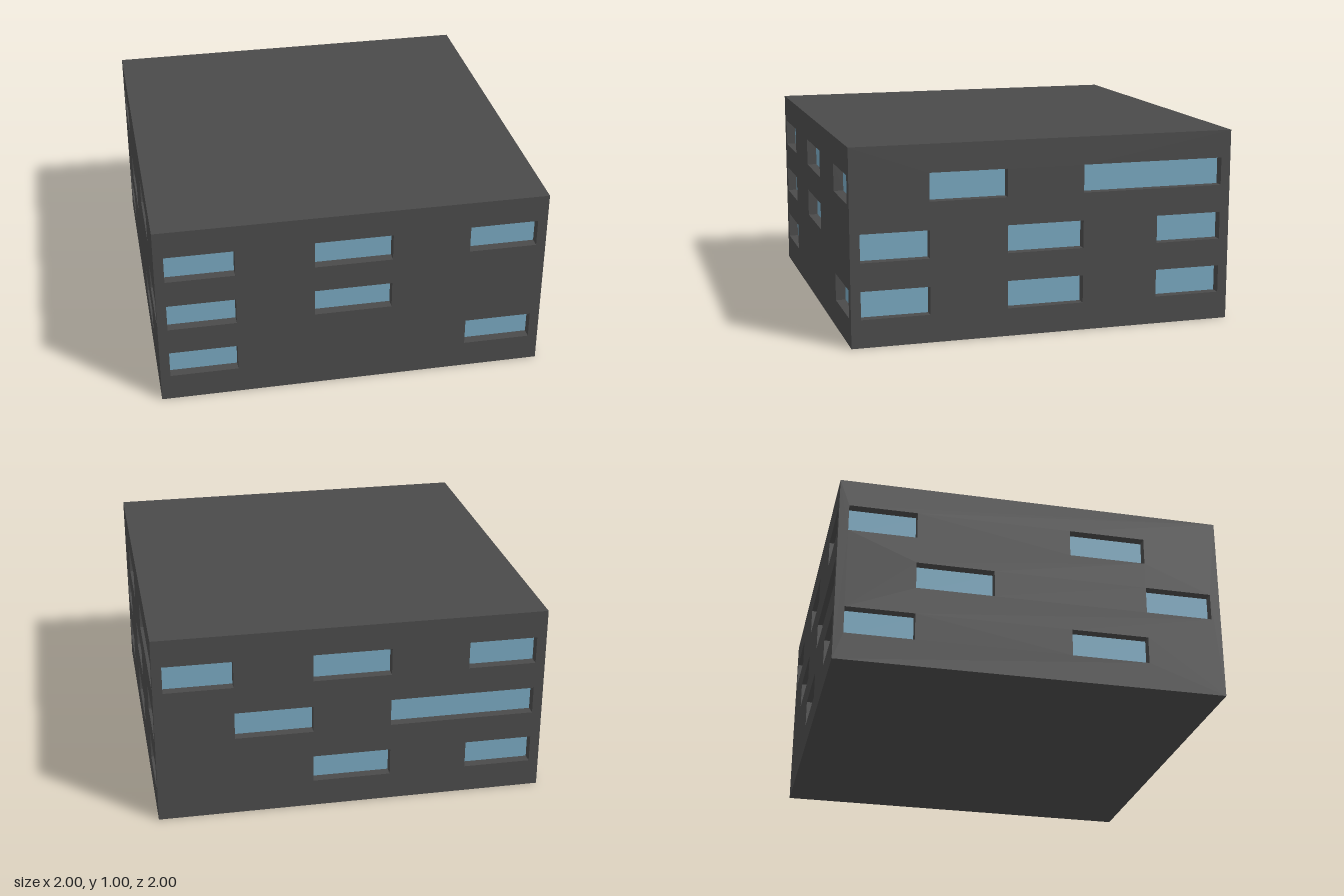
import * as THREE from 'three';

const HALF = 1, HEIGHT = 1, DEPTH = 0.05;
const wallMaterial = new THREE.MeshStandardMaterial({ color: 0x4a4a4a });
const glassMaterial = new THREE.MeshStandardMaterial({ color: 0x76a5bd });

// Five window bays across each side, and three storeys (upper, middle, lower)
const BAYS = [-0.95, -0.6, -0.2, 0.2, 0.6, 0.95];
const STOREYS = [5 / 7, 3 / 7, 1 / 7];

// Per storey: [first bay, last bay] of each window, left to right as seen from outside
const SIDES = [
  { name: 'front', turn: 0, rows: [[[0, 0], [2, 2], [4, 4]], [[0, 0], [2, 2]], [[0, 0], [4, 4]]] },
  { name: 'left', turn: 1, rows: [[[1, 1], [3, 4]], [[0, 0], [2, 2], [4, 4]], [[0, 0], [2, 2], [4, 4]]] },
  { name: 'back', turn: 2, rows: [[[0, 0], [2, 2], [4, 4]], [[1, 1], [3, 4]], [[2, 2], [4, 4]]] },
  { name: 'right', turn: 3, rows: [[[0, 0], [3, 3]], [[1, 1], [4, 4]], [[0, 0], [3, 3]]] },
];

function rectangle(PathType, x0, x1, y0, y1) {
  return new PathType([[x0, y0], [x1, y0], [x1, y1], [x0, y1]].map(([x, y]) => new THREE.Vector2(x, y)));
}

function addMesh(parent, name, geometry, material, x, y, z) {
  const mesh = new THREE.Mesh(geometry, material);
  mesh.name = name;
  mesh.position.set(x, y, z);
  parent.add(mesh);
  return mesh;
}

// Four inward-facing walls of a box, open at its front and back
function revealGeometry(width, height) {
  const geometry = new THREE.BoxGeometry(width, height, DEPTH);
  geometry.setIndex(Array.from(geometry.index.array).slice(0, 24).reverse());
  geometry.clearGroups();
  geometry.computeVertexNormals();
  return geometry;
}

// One side: a wall with openings, each with its reveal and recessed pane
function createSide({ name, turn, rows }) {
  const side = new THREE.Group();
  side.name = name + 'Side';
  const outline = rectangle(THREE.Shape, -HALF, HALF, 0, HEIGHT);
  rows.forEach((row, storey) => row.forEach(([first, last]) => {
    const x0 = BAYS[first], x1 = BAYS[last + 1];
    const y0 = STOREYS[storey], y1 = y0 + 1 / 7;
    const x = (x0 + x1) / 2, y = (y0 + y1) / 2;
    outline.holes.push(rectangle(THREE.Path, x0, x1, y0, y1));
    addMesh(side, 'windowReveal', revealGeometry(x1 - x0, y1 - y0), wallMaterial, x, y, HALF - DEPTH / 2);
    addMesh(side, 'windowPane', new THREE.PlaneGeometry(x1 - x0, y1 - y0), glassMaterial, x, y, HALF - DEPTH);
  }));
  addMesh(side, 'wall', new THREE.ShapeGeometry(outline), wallMaterial, 0, 0, HALF);
  side.rotation.y = turn * Math.PI / 2;
  return side;
}

export function createModel() {
  const building = new THREE.Group();
  building.name = 'building';
  for (const side of SIDES) building.add(createSide(side));

  // Flat roof and underside
  const slab = new THREE.PlaneGeometry(2 * HALF, 2 * HALF);
  addMesh(building, 'roof', slab, wallMaterial, 0, HEIGHT, 0).rotation.x = -Math.PI / 2;
  addMesh(building, 'floor', slab, wallMaterial, 0, 0, 0).rotation.x = Math.PI / 2;
  return building;
}
